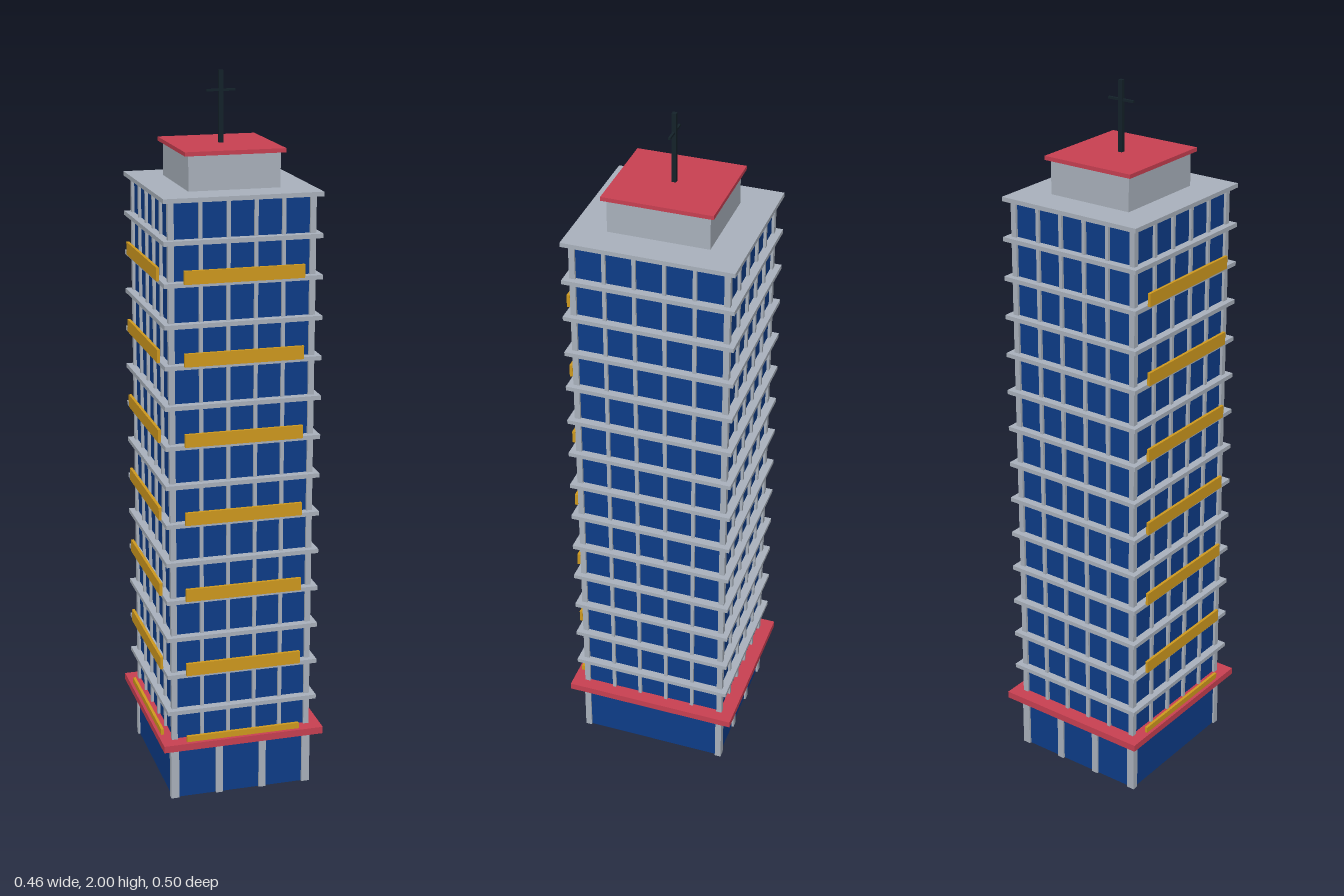
import * as THREE from 'three';

const material = (name, color) => {
  const m = new THREE.MeshStandardMaterial({ color });
  m.name = name;
  return m;
};

export function createModel() {
  const concrete = material('concrete', 0xaab2bd);
  const glass = material('blue glass', 0x0d3c88);
  const red = material('red trim', 0xc94052);
  const ochre = material('ochre panel', 0xd09a1e);
  const dark = material('dark metal', 0x14222a);

  const tower = new THREE.Group();
  tower.name = 'officeTower';

  // Box given by its size, its centre in x and z, and its underside height
  function box(name, mat, w, h, d, x, y, z, parent = tower) {
    const mesh = new THREE.Mesh(new THREE.BoxGeometry(w, h, d), mat);
    mesh.name = name;
    mesh.position.set(x, y + h / 2, z);
    parent.add(mesh);
    return mesh;
  }
  function group(name) {
    const g = new THREE.Group();
    g.name = name;
    tower.add(g);
    return g;
  }

  // Glazed ground floor and shaft
  box('lobbyGlass', glass, 0.396, 0.155, 0.42, 0, 0, 0);
  box('shaftGlass', glass, 0.385, 1.54, 0.415, 0, 0.155, 0);

  // Ground floor columns on the front and back, and at the corners
  const columns = group('lobbyColumns');
  for (const z of [-1, 1]) {
    for (const x of [-0.063, 0.063]) box('lobbyColumn', concrete, 0.02, 0.155, 0.018, x, 0, z * 0.207, columns);
    for (const x of [-1, 1]) box('cornerColumn', concrete, 0.023, 0.155, 0.018, x * 0.192, 0, z * 0.207, columns);
  }

  // Canopy above the ground floor
  box('canopy', red, 0.462, 0.02, 0.5, 0, 0.162, 0);

  // Mullions divide each side into five bays
  const mullions = group('mullions');
  const base = 0.16, height = 1.535;
  for (const s of [-1, 1]) {
    for (let i = 1; i < 5; i++) {
      box('mullion', concrete, 0.01, height, 0.014, (i - 2.5) * 0.075, base, s * 0.208, mullions);
      box('mullion', concrete, 0.014, height, 0.01, s * 0.193, base, (i - 2.5) * 0.081, mullions);
    }
    for (const t of [-1, 1]) box('cornerPost', concrete, 0.016, height, 0.016, s * 0.192, base, t * 0.207, mullions);
  }

  // Floor slabs, with ochre parapets on every second floor of two sides
  const floors = group('floors');
  for (let i = 0; i < 15; i++) {
    const y = 0.154 + i * 0.11;
    box('floorSlab', concrete, 0.43, 0.012, 0.462, 0, y, 0, floors);
    if (i % 2 === 0 && i < 13) {
      box('frontParapet', ochre, 0.326, 0.036, 0.009, 0, y + 0.009, 0.2355, floors);
      box('sideParapet', ochre, 0.008, 0.036, 0.354, -0.2185, y + 0.009, 0, floors);
    }
  }

  // Roof house, its cap and the mast
  box('roofHouse', concrete, 0.25, 0.1, 0.275, 0, 1.7, 0);
  box('roofCap', red, 0.274, 0.011, 0.298, 0, 1.799, 0);
  box('mast', dark, 0.012, 0.192, 0.012, 0, 1.808, 0);
  box('mastCrossbar', dark, 0.08, 0.006, 0.006, 0, 1.945, 0);

  return tower;
}
